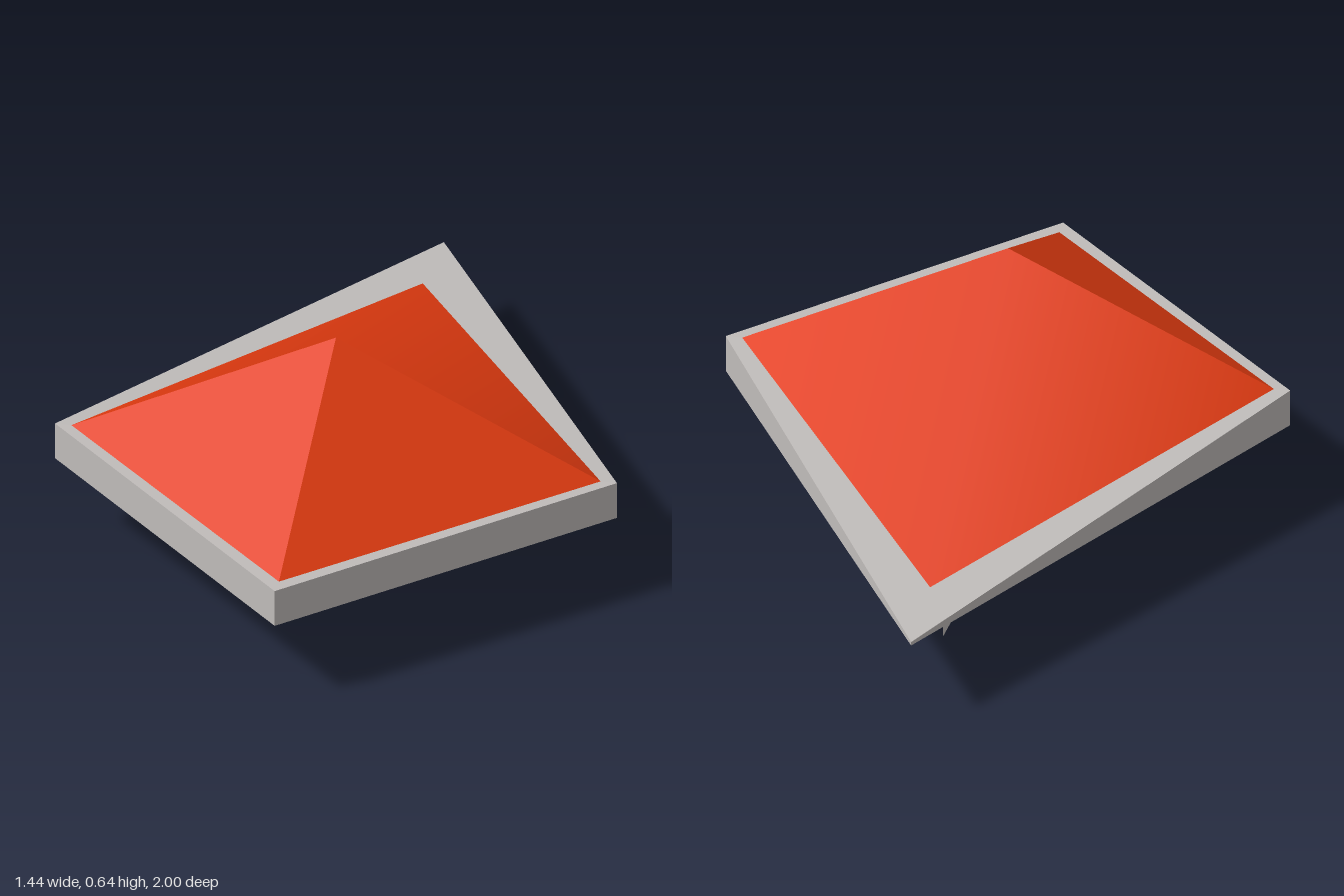
import * as THREE from 'three';

// Indexed geometry from a few corner points and triangles
function faceted(points, faces, smooth = false) {
  let g = new THREE.BufferGeometry();
  g.setAttribute('position', new THREE.Float32BufferAttribute(points.flat(), 3));
  g.setIndex(faces.flat());
  if (!smooth) g = g.toNonIndexed();
  g.computeVertexNormals();
  return g;
}

// Kite-shaped solid: corners run front, left, back, right, each with its own bottom and top height
function kiteSolid(halfWidth, zFront, zSide, zBack, bottoms, tops) {
  const outline = [[0, zFront], [halfWidth, zSide], [0, zBack], [-halfWidth, zSide]];
  const points = [
    ...outline.map(([x, z], i) => [x, bottoms[i], z]),
    ...outline.map(([x, z], i) => [x, tops[i], z]),
  ];
  const faces = [[4, 5, 7], [5, 6, 7], [0, 3, 1], [1, 3, 2]];
  for (let i = 0; i < 4; i++) {
    const j = (i + 1) % 4;
    faces.push([i, j, j + 4], [i, j + 4, i + 4]);
  }
  return faceted(points, faces);
}

export function createModel() {
  const group = new THREE.Group();
  const grey = new THREE.MeshStandardMaterial({ color: 0xc0bcba });
  grey.name = 'light grey';
  const red = new THREE.MeshStandardMaterial({ color: 0xe03a10 });
  red.name = 'orange red';

  const add = (name, geometry, material) => {
    const mesh = new THREE.Mesh(geometry, material);
    mesh.name = name;
    group.add(mesh);
  };

  // Kite plate, thinning towards the back tip
  add('basePlate', kiteSolid(0.722, 1, 0.275, -1,
    [0.21, 0.21, 0.21, 0.21], [0.31, 0.31, 0.22, 0.31]), grey);

  // Tapering keel under the plate, its upper front buried in the plate
  add('keel', kiteSolid(0.092, 0.285, 0.195, -0.58,
    [0.07, 0.07, 0, 0.07], [0.26, 0.26, 0.03, 0.26]), grey);

  // Pyramid crown: crisp front faces, softly shaded back slopes
  const front = [0, 0.31, 0.95], left = [0.68, 0.31, 0.275], right = [-0.68, 0.31, 0.275];
  const back = [0, 0.238, -0.75], apex = [0, 0.643, 0.275];
  add('crownFront', faceted([front, left, right, apex], [[0, 1, 3], [2, 0, 3]]), red);
  add('crownBack', faceted([left, back, right, apex], [[0, 1, 3], [1, 2, 3]], true), red);

  return group;
}
